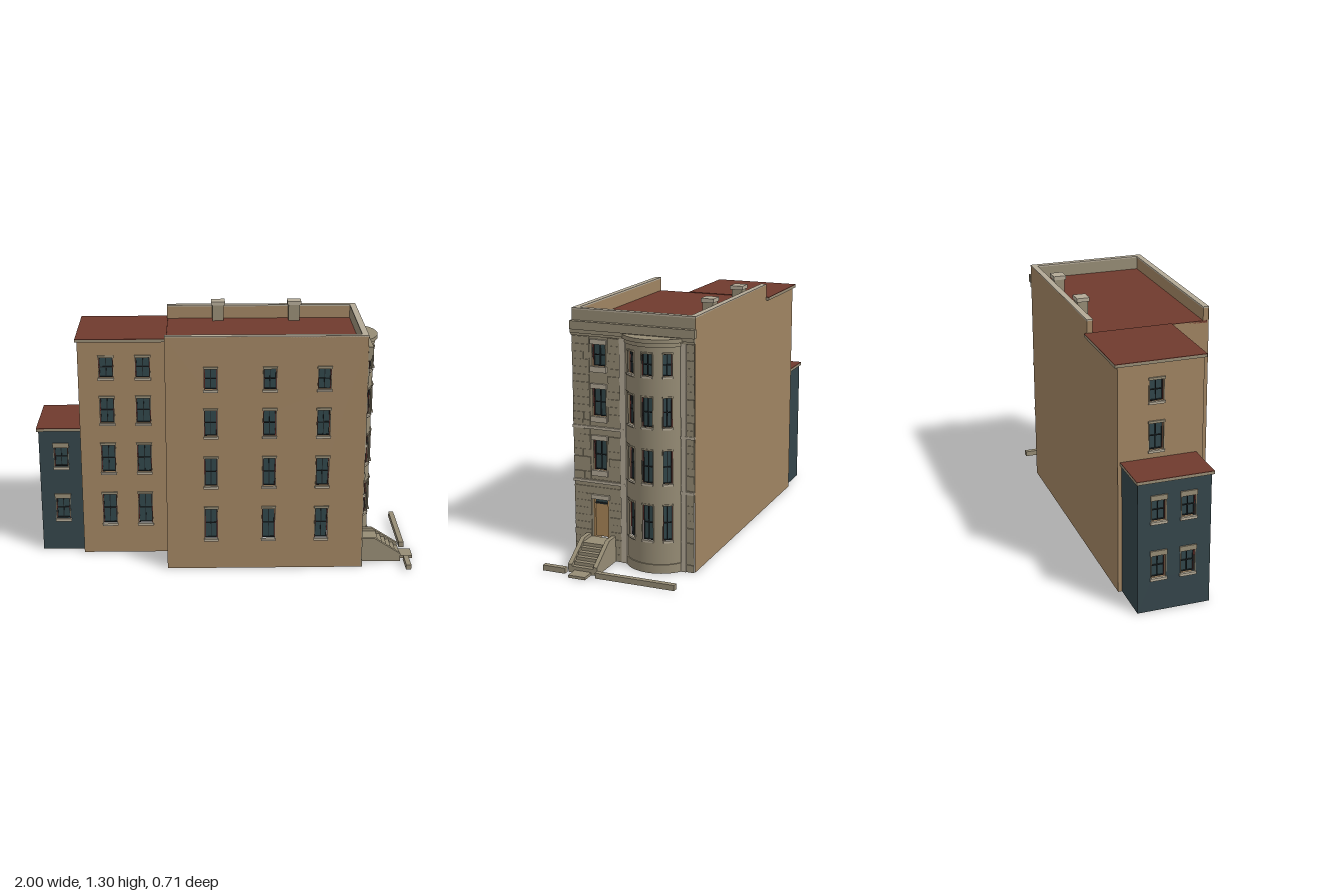
import * as THREE from 'three';

const mat = (name, color, side = THREE.FrontSide) => {
  const m = new THREE.MeshStandardMaterial({ color, side });
  m.name = name;
  return m;
};

export function createModel() {
  const brick = mat('tan brick', 0xa08462, THREE.DoubleSide);
  const stone = mat('brown stone', 0x968c75, THREE.DoubleSide);
  const pale = mat('pale stone', 0xb4aa97);
  const red = mat('red roof', 0x703a2d);
  const slate = mat('dark siding', 0x34454a, THREE.DoubleSide);
  const glass = mat('glass', 0x31464a);
  const sash = mat('black sash', 0x1f2628);
  const trim = mat('red window frame', 0x7a3a34);
  const wood = mat('door wood', 0xa98658);

  const root = new THREE.Group();
  root.name = 'rowHouse';
  const add = (parent, name, geo, m, x = 0, y = 0, z = 0) => {
    const mesh = new THREE.Mesh(geo, m);
    mesh.name = name;
    mesh.position.set(x, y, z);
    parent.add(mesh);
    return mesh;
  };
  // Box given by its limits on each axis
  const box = (parent, name, m, x0, x1, y0, y1, z0, z1) =>
    add(parent, name, new THREE.BoxGeometry(x1 - x0, y1 - y0, z1 - z0), m,
      (x0 + x1) / 2, (y0 + y1) / 2, (z0 + z1) / 2);
  const group = (parent, name) => {
    const g = new THREE.Group();
    g.name = name;
    parent.add(g);
    return g;
  };

  // Sash window facing +z: recessed glass, bars, lintel and sill
  function sashWindow(parent, u, y0, y1, w, depth, o = {}) {
    const g = group(parent, 'window');
    const a = u - w / 2, b = u + w / 2, ym = (y0 + y1) / 2, t = 0.004;
    const { lintel = 0.012, sill = 0.012, over = 0.006, recess = 0.02, lintelMat = stone, out = 0.008 } = o;
    add(g, 'glass', new THREE.PlaneGeometry(w, y1 - y0), glass, u, ym, depth - recess);
    for (const x of [a, u - t / 2, b - t])
      box(g, 'sashUpright', sash, x, x + t, y0, y1, depth - recess, depth - recess + 0.006);
    for (const y of [y0, ym - t / 2, y1 - t])
      box(g, 'sashRail', sash, a, b, y, y + t, depth - recess, depth - recess + 0.007);
    for (const x of [a, b - 0.003])
      box(g, 'jamb', trim, x, x + 0.003, y0, y1, depth - recess - 0.005, depth - recess + 0.009);
    for (const x of [a - 0.004, b])
      box(g, 'casing', stone, x, x + 0.004, y0, y1, depth - 0.004, depth + 0.004);
    box(g, 'lintel', lintelMat, a - over, b + over, y1, y1 + lintel, depth - 0.004, depth + out);
    box(g, 'sill', pale, a - over, b + over, y0 - sill, y0, depth - 0.004, depth + out + 0.002);
  }

  // Flat wall with openings, turned to face its side; u runs along the wall
  function wall(name, m, turn, depth, u0, u1, h, windows = [], holes = []) {
    const g = group(root, name);
    g.rotation.y = turn;
    const rect = (T, a, b, c, d) => {
      const s = new T();
      s.moveTo(a, c).lineTo(b, c).lineTo(b, d).lineTo(a, d).closePath();
      return s;
    };
    const shape = rect(THREE.Shape, u0, u1, 0, h);
    for (const q of windows)
      shape.holes.push(rect(THREE.Path, q.u - q.w / 2, q.u + q.w / 2, q.y0, q.y1));
    for (const q of holes) shape.holes.push(rect(THREE.Path, ...q));
    add(g, 'wallFace', new THREE.ShapeGeometry(shape), m, 0, 0, depth);
    for (const q of windows) sashWindow(g, q.u, q.y0, q.y1, q.w, depth, q.o);
    return g;
  }
  const rows = [[0.17, 0.34], [0.465, 0.62], [0.74, 0.88], [0.99, 1.1]];
  const gridOf = (cols, rs, w, o) =>
    cols.flatMap(u => rs.map(([y0, y1]) => ({ u, y0, y1, w, o })));
  const R = Math.PI / 2;

  // Main block, middle block and low rear block
  wall('mainSideWall', brick, 0, 0.3, -0.31, 0.71, 1.265, gridOf([-0.08, 0.22, 0.495], rows, 0.064));
  wall('mainRearReturn', brick, -R, 0.31, 0.09, 0.3, 1.195);
  wall('mainPlainWall', brick, 2 * R, 0.345, -0.71, 0.31, 1.265);
  wall('middleSideWall', brick, 0, 0.09, -0.765, -0.31, 1.19, gridOf([-0.62, -0.43], rows, 0.072));
  wall('middleRearWall', brick, -R, 0.765, -0.345, 0.09, 1.19, gridOf([-0.15], rows.slice(2), 0.072));
  wall('middlePlainWall', brick, 2 * R, 0.345, 0.31, 0.765, 1.19);
  const low = [[0.18, 0.3], [0.48, 0.59]], lowO = { lintel: 0.026, sill: 0.014, over: 0.008 };
  wall('annexSideWall', slate, 0, 0.045, -0.99, -0.765, 0.69, gridOf([-0.875], low, 0.07, lowO));
  wall('annexRearWall', slate, -R, 0.99, -0.325, 0.045, 0.69, gridOf([-0.22, -0.07], low, 0.07, lowO));
  wall('annexPlainWall', slate, 2 * R, 0.325, 0.765, 0.99, 0.69);

  // Roofs with stone eaves
  box(root, 'mainRoof', red, -0.31, 0.69, 1.185, 1.197, -0.335, 0.29);
  for (const [n, x0, x1, y, z0, z1] of [['middle', -0.775, -0.305, 1.2, -0.36, 0.1], ['annex', -1, -0.766, 0.7, -0.333, 0.055]]) {
    box(root, n + 'Eaves', stone, x0, x1, y - 0.017, y - 0.003, z0, z1);
    box(root, n + 'Roof', red, x0, x1, y - 0.003, y, z0, z1);
  }
  // Parapet and coping
  for (const [x0, x1, z0, z1, m] of [[-0.309, 0.709, 0.27, 0.299, brick], [-0.309, 0.709, -0.344, -0.315, brick], [0.68, 0.709, -0.315, 0.27, stone]]) {
    box(root, 'parapet', m, x0, x1, 1.18, 1.262, z0, z1);
    box(root, 'coping', pale, x0 - 0.001, x1 + 0.002, 1.262, 1.27, z0 - 0.001, z1 + 0.001);
  }
  // Chimneys
  for (const x of [-0.035, 0.375]) {
    box(root, 'chimney', stone, x - 0.03, x + 0.03, 1.19, 1.285, -0.315, -0.26);
    box(root, 'chimneyCap', pale, x - 0.037, x + 0.037, 1.283, 1.303, -0.32, -0.253);
  }

  // Entrance facade, facing +x (u = -z)
  const fo = { lintel: 0.024, sill: 0.028, over: 0.008, lintelMat: pale, out: 0.012 };
  const facade = wall('entranceFacade', stone, R, 0.71, -0.3, 0.343, 1.265,
    gridOf([-0.158], rows.slice(1), 0.07, fo),
    [[-0.2, -0.116, 0.115, 0.315], [-0.014, 0.275, 0.002, 1.145]]);
  const D = 0.71;
  // Door with transom
  box(facade, 'door', wood, -0.2, -0.116, 0.115, 0.287, D - 0.025, D - 0.015);
  box(facade, 'transom', glass, -0.2, -0.116, 0.292, 0.315, D - 0.025, D - 0.018);
  box(facade, 'transomBar', sash, -0.2, -0.116, 0.286, 0.293, D - 0.025, D - 0.01);
  for (const u of [-0.2, -0.122]) box(facade, 'doorJamb', wood, u, u + 0.006, 0.115, 0.315, D - 0.025, D);
  box(facade, 'doorLintel', pale, -0.208, -0.108, 0.315, 0.337, D, D + 0.012);

  // Rough stone blocks, seeded
  let seed = 7;
  const rnd = () => (seed = (seed * 16807) % 2147483647) / 2147483647;
  const openings = [[0.1, 0.34], [0.435, 0.65], [0.71, 0.91], [0.96, 1.125]];
  const blocks = group(facade, 'roughStone');
  const n = 30, ch = 1.135 / n;
  for (let i = 0; i < n; i++) {
    const y = i * ch;
    const open = openings.some(([a, b]) => y < b && y + ch > a);
    const spans = open ? [[-0.3, -0.208], [-0.108, -0.045]] : [[-0.3, -0.045]];
    spans.push([0.302, 0.343]);
    for (const [a, b] of spans)
      for (let u = a; u < b - 0.001;) {
        let e = Math.min(b, u + 0.05 + 0.06 * rnd());
        if (b - e < 0.02) e = b;
        box(blocks, 'block', stone, u, e - 0.001, y, y + ch - 0.001, D, D + 0.002 + 0.006 * rnd());
        u = e;
      }
  }
  // Pale pilasters, belts and cornice
  for (const [a, b] of [[-0.045, -0.014], [0.275, 0.302]])
    box(facade, 'pilaster', pale, a, b, 0, 1.14, D, D + 0.011);
  for (const y of [0.398, 0.675]) {
    box(facade, 'belt', pale, -0.302, -0.014, y, y + 0.014, D, D + 0.012);
    box(facade, 'belt', pale, 0.275, 0.345, y, y + 0.014, D, D + 0.012);
  }
  box(facade, 'lowerCornice', stone, -0.302, 0.345, 1.138, 1.15, D, D + 0.014);
  box(facade, 'middleCornice', stone, -0.302, 0.345, 1.15, 1.168, D, D + 0.02);
  box(facade, 'upperCornice', stone, -0.302, 0.35, 1.168, 1.21, D, D + 0.026);

  // Bowed bay: curved strips around three columns of windows
  const bay = group(root, 'bowedBay');
  bay.position.set(0.619, 0, -0.13);
  const BR = 0.171, half = 1.01, bayRows = [[0.167, 0.345], [0.455, 0.62], [0.735, 0.88], [0.985, 1.092]];
  const arc = (name, m, r, a0, a1, y0, y1, open = true) =>
    add(bay, name, new THREE.CylinderGeometry(r, r, y1 - y0, Math.max(3, Math.ceil((a1 - a0) * 14)), 1, open, R + a0, a1 - a0),
      m, 0, (y0 + y1) / 2, 0);
  const cols = [[-0.59, 0.135], [0, 0.16], [0.59, 0.135]];
  let from = -half;
  for (const [c, hw] of cols) {
    arc('bayPier', stone, BR, from, c - hw, 0, 1.15);
    let y = 0;
    for (const [y0, y1] of bayRows) {
      arc('bayPanel', stone, BR, c - hw, c + hw, y, y0);
      y = y1;
    }
    arc('bayPanel', stone, BR, c - hw, c + hw, y, 1.15);
    const holder = group(bay, 'bayWindows');
    holder.rotation.y = R + c;
    for (const [y0, y1] of bayRows)
      sashWindow(holder, 0, y0, y1, 2 * BR * Math.sin(hw), BR * Math.cos(hw), { over: 0.003, lintel: 0.008, sill: 0.01, recess: 0.015 });
    from = c + hw;
  }
  arc('bayPier', stone, BR, from, half, 0, 1.15);
  arc('bayBase', stone, BR + 0.006, -half, half, 0, 0.045, false);
  for (const [y0, y1] of bayRows) {
    arc('bayBelt', stone, BR + 0.004, -half, half, y0 - 0.016, y0 - 0.009);
    if (y1 < 1) arc('bayBelt', stone, BR + 0.003, -half, half, y1 + 0.008, y1 + 0.013);
  }
  arc('bayMoulding', stone, BR + 0.008, -half, half, 1.125, 1.145, false);
  arc('bayCap', stone, BR + 0.019, -half, half, 1.145, 1.165, false);

  // Entrance stairs
  const stairs = group(root, 'stairs');
  const extrude = (name, pts, z0, z1) =>
    add(stairs, name, new THREE.ExtrudeGeometry(new THREE.Shape(pts.map(p => new THREE.Vector2(...p))),
      { depth: z1 - z0, bevelEnabled: false }), stone, 0, 0, z0);
  const cheek = [[0.71, 0], [0.93, 0], [0.93, 0.042], [0.79, 0.132], [0.71, 0.132]];
  extrude('cheekWall', cheek, 0.078, 0.1);
  extrude('cheekWall', cheek, 0.213, 0.235);
  const profile = [[0.71, 0], [0.93, 0]];
  const steps = 6;
  for (let i = 0; i < steps; i++) {
    const x = 0.93 - i * 0.024, y = 0.015 + (i + 1) * 0.0167;
    profile.push([x, y], [x - 0.024, y]);
  }
  profile.push([0.71, 0.115]);
  extrude('treads', profile, 0.1, 0.213);
  box(stairs, 'bottomSlab', stone, 0.925, 1, 0, 0.014, 0.11, 0.2);

  // Low kerbs along the pavement
  box(root, 'kerb', stone, 0.945, 0.972, 0.005, 0.033, -0.345, 0.07);
  box(root, 'kerb', stone, 0.945, 0.972, 0.005, 0.033, 0.232, 0.352);
  return root;
}
